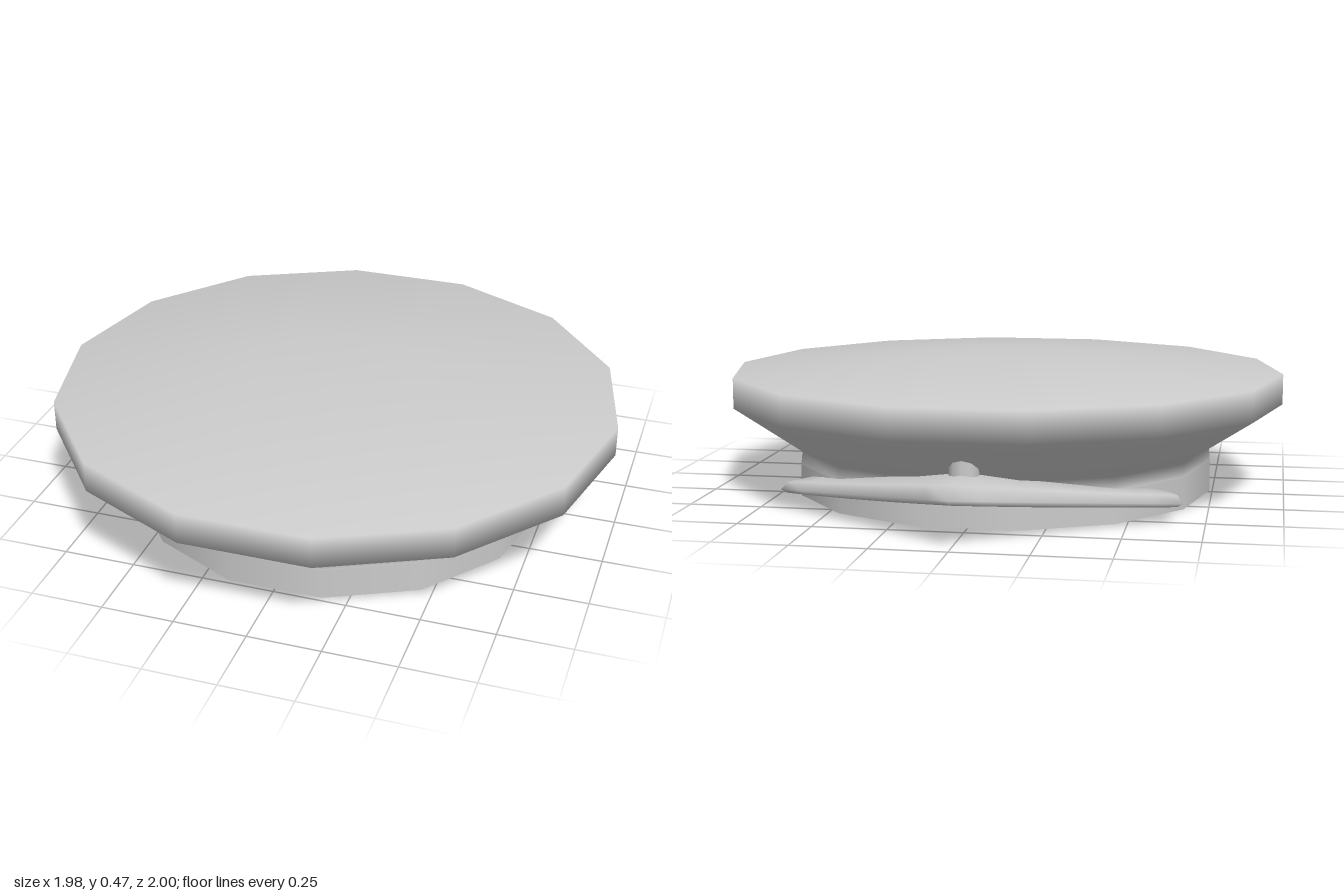
import * as THREE from 'three';

const SIDES = 14;

// Lathed shell whose rings are nudged along z by a rule on height
function shell(profile, name, material) {
  const geo = new THREE.LatheGeometry(profile.map(([r, y]) => new THREE.Vector2(r, y)), SIDES, Math.PI / 2);
  const pos = geo.attributes.position;
  for (let i = 0; i < pos.count; i++) {
    const k = THREE.MathUtils.clamp((pos.getY(i) - 0.15) / 0.16, 0, 1);
    pos.setZ(i, pos.getZ(i) * (0.99 - 0.02 * k) + 0.02 + 0.045 * k);
  }
  const mesh = new THREE.Mesh(geo, material);
  mesh.name = name;
  return mesh;
}

// Crescent peak: cross-sections lofted from the right end to the left end
function peakGeometry() {
  const steps = 16, verts = [], index = [], ring = 5;
  for (let i = 0; i <= steps; i++) {
    const u = -1 + (2 * i) / steps, a = Math.abs(u), angle = u * 0.98;
    const outer = new THREE.Vector3(0.675 * u, 0.157 - 0.092 * a, -1 + 0.49 * a);
    const inner = new THREE.Vector3(0.71 * Math.sin(angle), 0.165 - 0.095 * a, 0.02 - 0.695 * Math.cos(angle));
    const mid = outer.clone().lerp(inner, 0.2);
    const h = 0.033 - 0.012 * a;
    verts.push(
      outer.x, outer.y, outer.z,
      mid.x, mid.y + h, mid.z,
      inner.x, inner.y + 0.025 - 0.008 * a, inner.z,
      inner.x, inner.y - 0.025 + 0.004 * a, inner.z,
      mid.x, mid.y - h + 0.003, mid.z);
  }
  for (let i = 0; i < steps; i++) {
    for (let j = 0; j < ring; j++) {
      const a = i * ring + j, b = i * ring + ((j + 1) % ring);
      index.push(a, b, b + ring, a, b + ring, a + ring);
    }
  }
  // End caps
  const last = steps * ring;
  for (let j = 1; j < ring - 1; j++) {
    index.push(0, j + 1, j, last, last + j, last + j + 1);
  }
  const geo = new THREE.BufferGeometry();
  geo.setAttribute('position', new THREE.Float32BufferAttribute(verts, 3));
  geo.setIndex(index);
  geo.computeVertexNormals();
  return geo;
}

export function createModel() {
  const group = new THREE.Group();
  group.name = 'cap';
  const cloth = new THREE.MeshStandardMaterial({ color: 0xcccccc });
  cloth.name = 'light grey cloth';

  // Head band with a flat underside
  group.add(shell([[0.74, 0], [0.74, 0.11]], 'headBand', cloth));
  group.add(shell([[0, 0], [0.74, 0]], 'underside', cloth));

  // Flared crown with a shallow domed top
  group.add(shell([[0.74, 0.11], [0.735, 0.155], [0.988, 0.31], [0.988, 0.417], [0.3, 0.463], [0, 0.465]], 'crown', cloth));

  // Pointed peak at the back
  const peak = new THREE.Mesh(peakGeometry(), cloth);
  peak.name = 'peak';
  group.add(peak);

  // Small stud where the peak meets the crown
  const stud = new THREE.Mesh(new THREE.CylinderGeometry(0.05, 0.05, 0.08, 10), cloth);
  stud.name = 'stud';
  stud.position.set(0, 0.21, -0.735);
  group.add(stud);

  return group;
}
